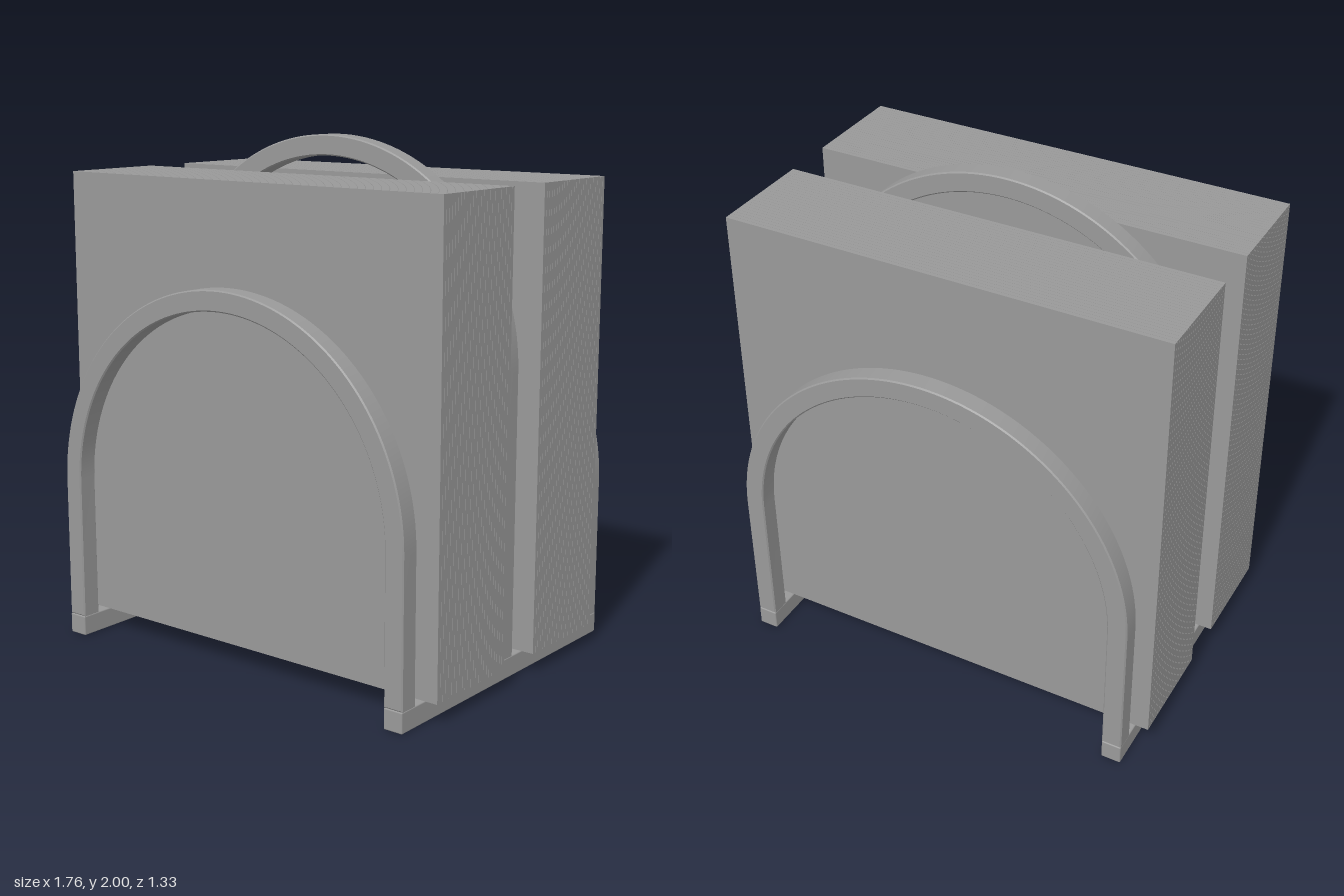
import * as THREE from 'three';
import { toCreasedNormals } from 'three/addons/utils/BufferGeometryUtils.js';
import { RoundedBoxGeometry } from 'three/addons/geometries/RoundedBoxGeometry.js';

const BAR = 0.08;      // thickness of the frame bars
const OUTER = 0.83;    // outer half width of the arches
const BEVEL = 0.005;

// Upside-down U: straight legs under a half circle
function archGeometry(top) {
  const spring = top - OUTER;
  const inner = OUTER - BAR;
  const shape = new THREE.Shape();
  shape.moveTo(OUTER, BAR);
  shape.lineTo(OUTER, spring);
  shape.absarc(0, spring, OUTER, 0, Math.PI, false);
  shape.lineTo(-OUTER, BAR);
  shape.lineTo(-inner, BAR);
  shape.lineTo(-inner, spring);
  shape.absarc(0, spring, inner, Math.PI, 0, true);
  shape.lineTo(inner, BAR);
  shape.closePath();
  const geometry = new THREE.ExtrudeGeometry(shape, {
    depth: BAR - 2 * BEVEL,
    curveSegments: 40,
    bevelEnabled: true,
    bevelThickness: BEVEL,
    bevelSize: BEVEL,
    bevelOffset: -BEVEL,
    bevelSegments: 1,
  });
  geometry.translate(0, 0, BEVEL - BAR / 2);
  return toCreasedNormals(geometry, 0.5);
}

export function createModel() {
  const model = new THREE.Group();
  model.name = 'napkinHolder';

  const grey = new THREE.MeshStandardMaterial({ color: 0x999999 });
  grey.name = 'grey';

  const add = (parent, name, geometry, x, y, z) => {
    const mesh = new THREE.Mesh(geometry, grey);
    mesh.name = name;
    mesh.position.set(x, y, z);
    parent.add(mesh);
  };

  // Two rails along the floor
  const rail = new RoundedBoxGeometry(BAR, BAR, 1.33, 1, BEVEL);
  add(model, 'leftRail', rail, OUTER - BAR / 2, BAR / 2, 0);
  add(model, 'rightRail', rail, -OUTER + BAR / 2, BAR / 2, 0);

  // Low arches at both ends and the tall handle arch between the stacks
  const endArch = archGeometry(1.47);
  add(model, 'frontArch', endArch, 0, 0, 0.625);
  add(model, 'backArch', endArch, 0, 0, -0.625);
  add(model, 'handleArch', archGeometry(2), 0, 0, 0);

  // Two stacks of upright square sheets
  const count = 25;
  const near = 0.1;
  const far = 0.53;
  const pitch = (far - near) / count;
  const sheet = new THREE.BoxGeometry(1.765, 1.77, pitch * 0.93);
  for (const side of [1, -1]) {
    const stack = new THREE.Group();
    stack.name = side > 0 ? 'frontNapkinStack' : 'backNapkinStack';
    for (let i = 0; i < count; i++) {
      add(stack, 'napkin', sheet, 0, BAR + 0.885, side * (near + (i + 0.5) * pitch));
    }
    model.add(stack);
  }

  return model;
}
